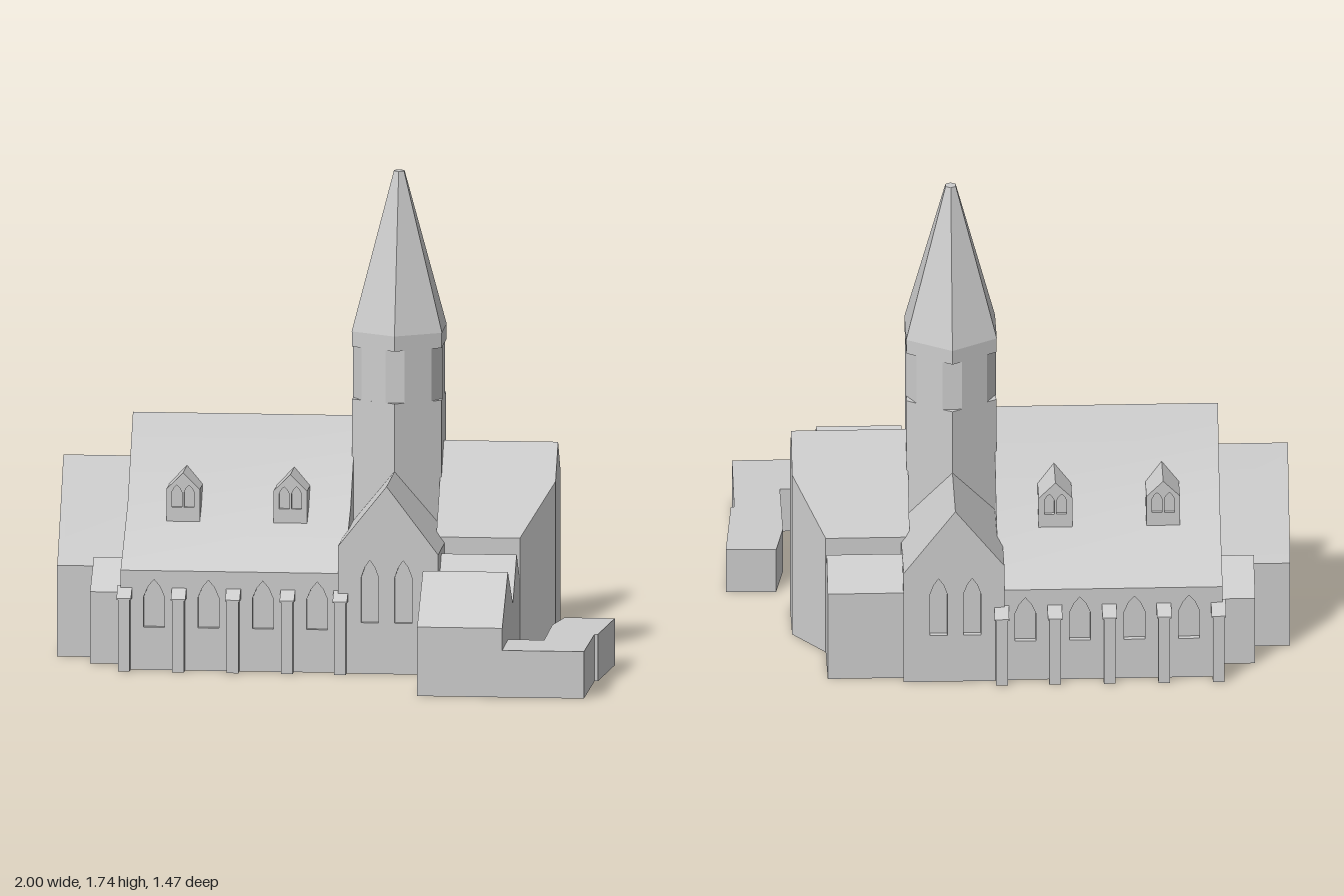
import * as THREE from 'three';
import { toCreasedNormals } from 'three/addons/utils/BufferGeometryUtils.js';

const stone = new THREE.MeshStandardMaterial({ color: 0xcccccc });
stone.name = 'pale stone';

const AXIS = -0.205; // z of the church's long axis
const RECESS = 0.02; // depth of window openings

const toShape = (pts) => new THREE.Shape(pts.map(([a, b]) => new THREE.Vector2(a, b)));
const mirrorZ = (pts, axis = AXIS) => pts.map(([z, y]) => [2 * axis - z, y]);

export function createModel() {
  const model = new THREE.Group();
  model.name = 'church';

  const add = (name, geometry, parent = model) => {
    const mesh = new THREE.Mesh(geometry, stone);
    mesh.name = name;
    parent.add(mesh);
    return mesh;
  };

  const extrude = (pts, depth, holes = []) => {
    const shape = toShape(pts);
    holes.forEach((h) => shape.holes.push(new THREE.Path(h.map(([a, b]) => new THREE.Vector2(a, b)))));
    return new THREE.ExtrudeGeometry(shape, { depth, bevelEnabled: false });
  };

  // Profile given as (z, y), running from x0 to x1
  const alongX = (name, pts, x0, x1, holes) =>
    add(name, toCreasedNormals(extrude(pts, x1 - x0, holes).rotateY(-Math.PI / 2).translate(x1, 0, 0), 0.6));

  // Profile given as (x, y), running from z0 to z1
  const alongZ = (name, pts, z0, z1, holes, parent) =>
    add(name, extrude(pts, z1 - z0, holes).translate(0, 0, z0), parent);

  // Plan given as (x, z), rising to height
  const upright = (name, pts, y0, y1) =>
    add(name, extrude(pts.map(([x, z]) => [x, -z]), y1 - y0).rotateX(-Math.PI / 2).translate(0, y0, 0));

  // Pointed window outline
  const lancet = (c, w, y0, spring, top) => [
    [c - w / 2, y0], [c + w / 2, y0], [c + w / 2, spring], [c + w * 0.28, spring + (top - spring) * 0.6],
    [c, top], [c - w * 0.28, spring + (top - spring) * 0.6], [c - w / 2, spring],
  ];

  // Nave with flared roof
  const half = [[0.28 - RECESS, 0], [0.28 - RECESS, 0.35], [0.28, 0.35], [0.28, 0.36], [0.005, 0.55]];
  alongX('nave', [...half, [AXIS, 0.85], ...mirrorZ(half).reverse()], -0.75, 0.05);

  // Nave side walls with window openings
  const naveWindows = [-0.63, -0.435, -0.24, -0.045].map((x) => lancet(x, 0.075, 0.155, 0.265, 0.328));
  const naveWall = [[-0.75, 0], [0.05, 0], [0.05, 0.352], [-0.75, 0.352]];
  for (const z of [0.28 - RECESS, -0.69]) alongZ('naveWall', naveWall, z, z + RECESS, naveWindows);

  // Buttresses with sloped caps
  const shaft = [[0.27, 0], [0.323, 0], [0.323, 0.262], [0.27, 0.262]];
  const cap = [[0.27, 0.26], [0.326, 0.26], [0.326, 0.265], [0.27, 0.305]];
  for (const x of [-0.735, -0.54, -0.345, -0.15, 0.04]) {
    for (const side of [(p) => p, (p) => mirrorZ(p)]) {
      alongX('buttress', side(shaft), x - 0.021, x + 0.021);
      alongX('buttressCap', side(cap), x - 0.026, x + 0.026);
    }
  }

  // Dormers on both roof slopes
  for (const x of [-0.545, -0.16]) {
    for (const turn of [0, Math.PI]) {
      const dormer = new THREE.Group();
      dormer.name = 'dormer';
      dormer.position.set(x, 0, AXIS);
      dormer.rotation.y = turn;
      model.add(dormer);
      const house = [[-0.06, 0.5], [0.06, 0.5], [0.06, 0.62], [0, 0.68], [-0.06, 0.62]];
      const panes = [-0.022, 0.022].map((c) => lancet(c, 0.036, 0.555, 0.61, 0.635));
      alongZ('dormerBody', house, 0.1, 0.265, [], dormer);
      alongZ('dormerFront', house, 0.265, 0.277, panes, dormer);
    }
  }

  // Transept with a windowed gable at each end
  const gable = [[0.03, 0], [0.39, 0], [0.39, 0.435], [0.205, 0.68], [0.03, 0.46]];
  const gableWindows = [0.145, 0.265].map((x) => lancet(x, 0.062, 0.185, 0.35, 0.412));
  alongZ('transept', gable, -0.695 + RECESS, 0.292 - RECESS);
  for (const z of [0.292 - RECESS, -0.695]) alongZ('transeptGable', gable, z, z + RECESS, gableWindows);

  // West porch with windows and door
  const porch = [[0.03, 0], [0.03, 0.33], [-0.09, 0.5], [-0.2125, 0.69], [-0.335, 0.5], [-0.455, 0.33], [-0.455, 0]];
  const porchOpenings = [
    lancet(-0.345, 0.05, 0.17, 0.31, 0.36), lancet(-0.08, 0.05, 0.17, 0.31, 0.36),
    lancet(-0.2125, 0.055, 0.23, 0.39, 0.445),
    [[-0.255, 0.005], [-0.17, 0.005], [-0.17, 0.17], [-0.255, 0.17]],
  ];
  alongX('porch', porch, -1 + RECESS, -0.74);
  alongX('porchFront', porch, -1, -1 + RECESS, porchOpenings);
  const lean = [[0.02, 0], [0.165, 0], [0.165, 0.26], [0.02, 0.36]];
  for (const p of [lean, mirrorZ(lean, -0.2125)]) alongX('porchSideRoom', p, -0.87, -0.74);

  // Choir with canted east end: each half's top follows the roof slope
  const choirHalf = [[0.36, AXIS], [0.775, AXIS], [0.775, -0.105], [0.66, 0.04], [0.36, 0.04]];
  for (const side of [1, -1]) {
    const plan = choirHalf.map(([x, z]) => [x, AXIS + side * (z - AXIS)]);
    const geometry = upright('choir', plan, 0, 1).geometry;
    const pos = geometry.attributes.position;
    for (let i = 0; i < pos.count; i++) {
      if (pos.getY(i) > 0.5) pos.setY(i, 0.765 - 1.26 * Math.abs(pos.getZ(i) - AXIS));
    }
    geometry.computeVertexNormals();
  }

  // Side rooms beside the choir
  alongX('southSacristy', [[0.03, 0], [0.31, 0], [0.31, 0.27], [0.165, 0.418], [0.03, 0.3]], 0.37, 0.66);
  alongX('northSacristy', [[-0.43, 0], [-0.66, 0], [-0.66, 0.34], [-0.548, 0.44], [-0.43, 0.34]], 0.37, 0.66);
  alongX('hall', [[0.29, 0], [0.735, 0], [0.735, 0.25], [0.51, 0.415], [0.29, 0.25]], 0.355, 0.66);

  // Low flat-roofed wing
  upright('lowWing', [
    [0.65, 0.505], [0.79, 0.505], [0.79, 0.19], [0.82, 0.03], [1, 0.035],
    [0.97, 0.37], [0.958, 0.37], [0.953, 0.735], [0.65, 0.735],
  ], 0, 0.17);

  // Six-sided tower, belfry with cut corners, and spire
  const hexPart = (name, rTop, rBottom, y0, y1) =>
    add(name, toCreasedNormals(new THREE.CylinderGeometry(rTop, rBottom, y1 - y0, 6), 0.3))
      .position.set(0.205, (y0 + y1) / 2, AXIS);
  hexPart('tower', 0.185, 0.185, 0, 0.925);
  const belfry = [];
  for (let i = 0; i < 6; i++) {
    const a = (i * Math.PI) / 3;
    for (const s of [-1, 1]) {
      const out = 0.165, w = s * 0.0346;
      belfry.push([0.205 + out * Math.sin(a) + w * Math.cos(a), AXIS + out * Math.cos(a) - w * Math.sin(a)]);
    }
  }
  upright('belfry', belfry, 0.925, 1.115);
  hexPart('belfryCornice', 0.186, 0.186, 1.115, 1.17);
  hexPart('spire', 0.021, 0.187, 1.17, 1.74);

  return model;
}
